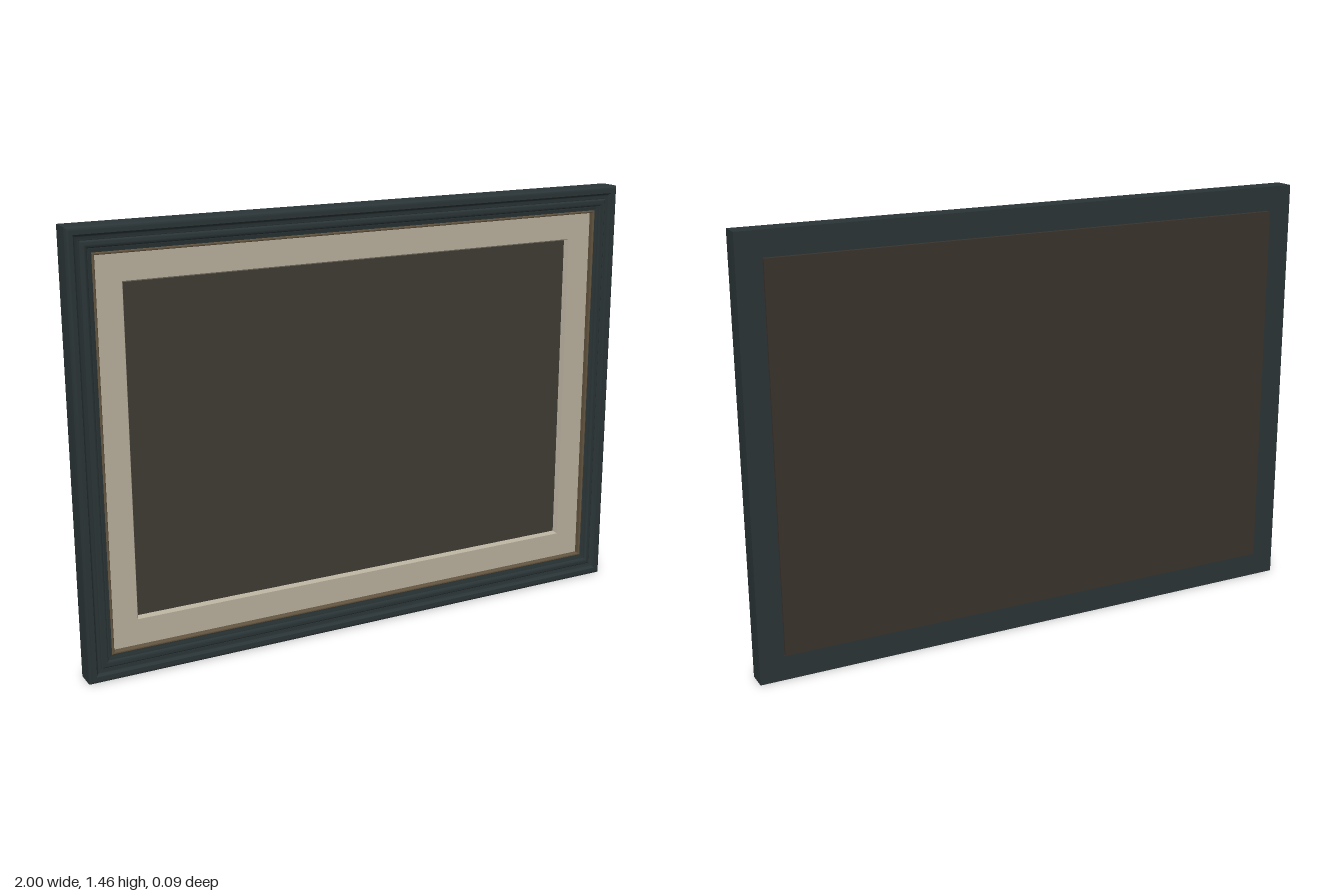
import * as THREE from 'three';
import { toCreasedNormals } from 'three/addons/utils/BufferGeometryUtils.js';

const W = 2, H = 1.46;

// Mitred rectangular moulding: a closed profile of [inset, z] points,
// ordered outer back, outer front, inner front, inner back.
function moulding(profile) {
  const corners = [[-1, -1], [1, -1], [1, 1], [-1, 1]];
  const n = profile.length;
  const positions = [], index = [];
  for (const [sx, sy] of corners) {
    for (const [inset, z] of profile) {
      positions.push(sx * (W / 2 - inset), H / 2 + sy * (H / 2 - inset), z);
    }
  }
  for (let i = 0; i < 4; i++) {
    for (let j = 0; j < n; j++) {
      const k = (j + 1) % n, m = (i + 1) % 4;
      const a = i * n + j, b = m * n + j, c = m * n + k, d = i * n + k;
      index.push(a, b, c, a, c, d);
    }
  }
  const geometry = new THREE.BufferGeometry();
  geometry.setAttribute('position', new THREE.Float32BufferAttribute(positions, 3));
  geometry.setIndex(index);
  return toCreasedNormals(geometry, 0.6);
}

// Points on an elliptical arc in the profile plane
function arc(cx, cz, rx, rz, from, to, steps = 6) {
  return Array.from({ length: steps + 1 }, (_, i) => {
    const t = THREE.MathUtils.degToRad(from + (to - from) * i / steps);
    return [cx + rx * Math.cos(t), cz + rz * Math.sin(t)];
  });
}

function panel(inset, back, front) {
  const geometry = new THREE.BoxGeometry(W - 2 * inset, H - 2 * inset, front - back);
  return geometry.translate(0, H / 2, (front + back) / 2);
}

export function createModel() {
  const group = new THREE.Group();
  const add = (name, geometry, color) => {
    const mesh = new THREE.Mesh(geometry, new THREE.MeshStandardMaterial({ color }));
    mesh.name = name;
    group.add(mesh);
  };

  // Outer frame: rounded rim, cove, inner bead and step down to the mat
  add('frame', moulding([
    [0, -0.037],
    ...arc(0.012, 0.031, 0.012, 0.012, 180, 90),
    [0.02, 0.043],
    ...arc(0.042, 0.043, 0.018, 0.012, 180, 270),
    ...arc(0.056, 0.03, 0.012, 0.008, 180, 0, 8),
    [0.072, 0.03], [0.078, 0.026], [0.084, 0.026],
    [0.084, -0.037],
  ]), 0x2a3436);

  // Thin warm lip inside the frame
  add('innerLip', moulding([
    [0.082, 0.004],
    ...arc(0.0865, 0.0245, 0.0045, 0.0045, 180, 0),
    [0.091, 0.004],
  ]), 0x62543f);

  // Mat with a bevelled opening
  add('mat', moulding([
    [0.084, -0.008], [0.084, 0.01], [0.179, 0.01], [0.186, -0.008],
  ]), 0xb8af9d);

  add('picture', panel(0.09, -0.02, -0.007), 0x3f3a33);
  add('backPanel', panel(0.086, -0.042, -0.02), 0x3a332d);
  return group;
}
